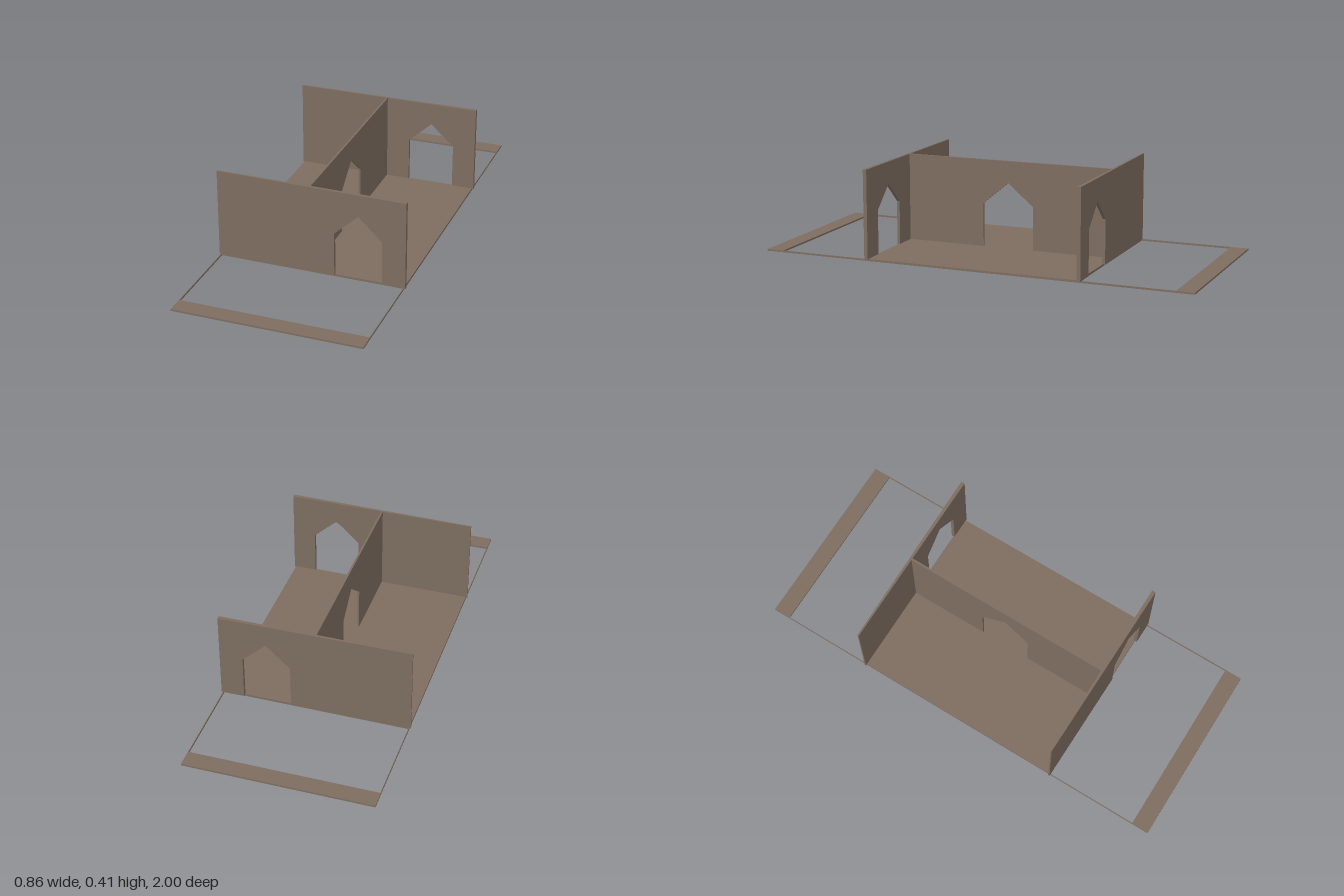
import * as THREE from 'three';

const material = new THREE.MeshStandardMaterial({ color: 0x7d6d5f, flatShading: true, side: THREE.DoubleSide });
const WALL_TOP = 0.41, FLOOR_TOP = 0.01;

// Wall of unit thickness with a pointed doorway cut up from its foot
function doorWall(halfWidth, doorX, doorHalf, base) {
  const shape = new THREE.Shape([
    [-halfWidth, base], [doorX - doorHalf, base], [doorX - doorHalf, 0.21],
    [doorX, 0.31], [doorX + doorHalf, 0.21], [doorX + doorHalf, base],
    [halfWidth, base], [halfWidth, WALL_TOP], [-halfWidth, WALL_TOP],
  ].map(([x, y]) => new THREE.Vector2(x, y)));
  return new THREE.ExtrudeGeometry(shape, { depth: 1, bevelEnabled: false });
}

export function createModel() {
  const group = new THREE.Group();

  const add = (name, geometry) => {
    const mesh = new THREE.Mesh(geometry, material);
    mesh.name = name;
    group.add(mesh);
    return mesh;
  };
  const addBox = (name, w, h, d, x, z) =>
    add(name, new THREE.BoxGeometry(w, h, d)).position.set(x, h / 2, z);

  // Floor slab
  addBox('floor', 0.846, FLOOR_TOP, 0.99, 0, 0);

  for (const side of [1, -1]) {
    // End wall: flat inside, its outside flares slightly towards +x
    const geometry = doorWall(0.43, 0.217, 0.108, 0.006);
    const p = geometry.attributes.position;
    for (let i = 0; i < p.count; i++) {
      const outer = (p.getZ(i) > 0.5) === (side > 0);
      const flare = 0.496 + 0.01 * (p.getX(i) / 0.86 + 0.5);
      p.setZ(i, side * (outer ? flare : 0.489));
    }
    geometry.computeVertexNormals();
    add(side > 0 ? 'frontWall' : 'backWall', geometry);

    // Flat strip lying beyond the end wall
    addBox(side > 0 ? 'frontStrip' : 'backStrip', 0.846, 0.008, 0.08, 0, side * 0.96);

    // Thin edging joining the floor to both strips
    addBox(side > 0 ? 'leftEdging' : 'rightEdging', 0.003, 0.008, 2, side * 0.4215, 0);
  }

  // Dividing wall running front to back, with a central doorway
  const divider = doorWall(0.489, 0, 0.12, FLOOR_TOP);
  divider.scale(1, 1, 0.009);
  divider.rotateY(Math.PI / 2);
  add('dividingWall', divider).position.x = -0.009;

  return group;
}
